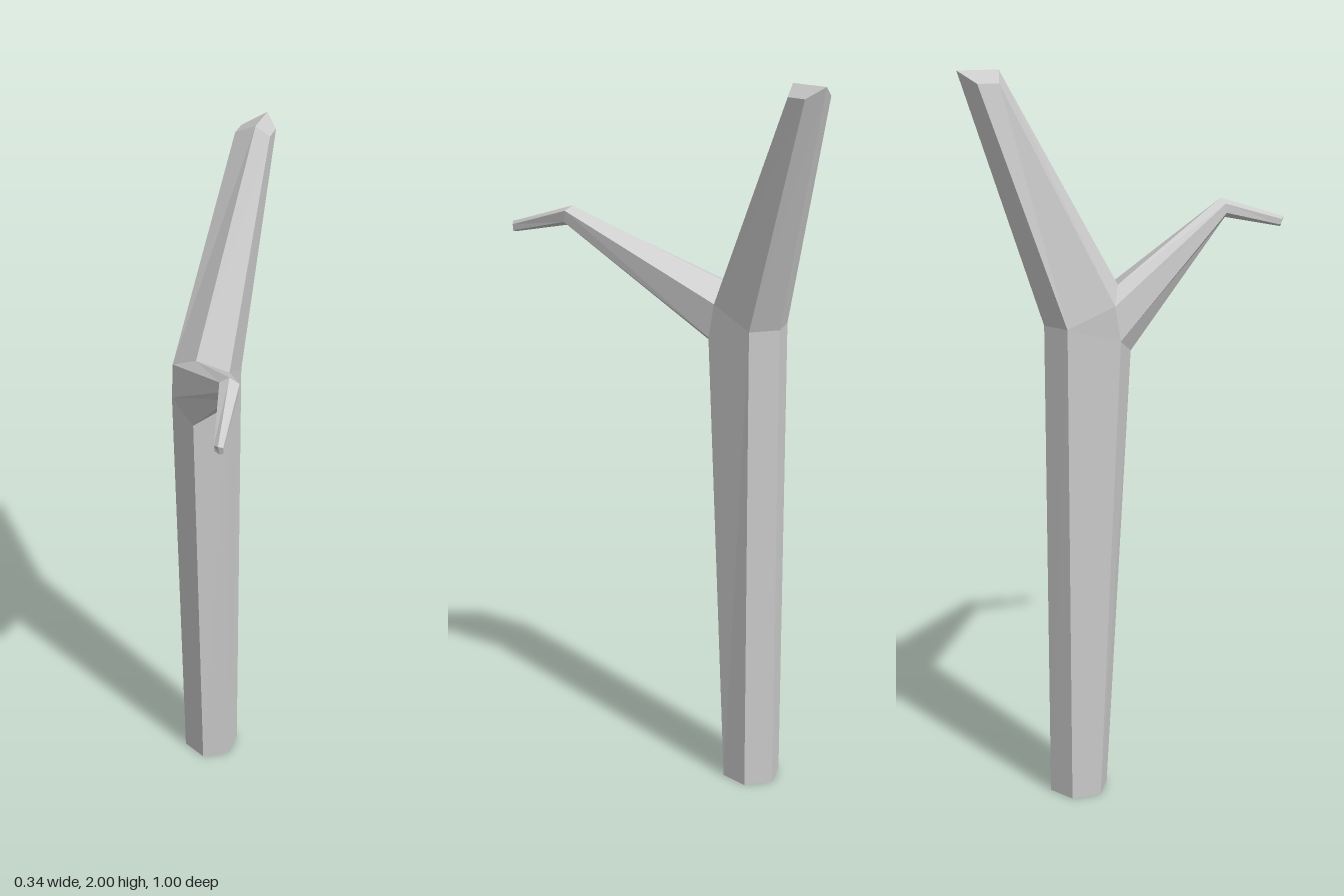
import * as THREE from 'three';

const material = new THREE.MeshStandardMaterial({ color: 0xcccccc, flatShading: true });

// Flat-shaded mesh from a list of triangles (each an array of three points)
function facetMesh(name, triangles) {
  const geometry = new THREE.BufferGeometry();
  geometry.setAttribute('position', new THREE.Float32BufferAttribute(triangles.flat(2), 3));
  geometry.computeVertexNormals();
  const mesh = new THREE.Mesh(geometry, material);
  mesh.name = name;
  return mesh;
}

// Closed end, fanned from the first point of a ring
function cap(ring) {
  return ring.slice(2).map((p, i) => [ring[0], ring[i + 1], p]);
}

// Walls joining consecutive rings
function loft(rings) {
  const triangles = [];
  for (let r = 0; r + 1 < rings.length; r++) {
    const a = rings[r], b = rings[r + 1];
    a.forEach((p, i) => {
      const j = (i + 1) % a.length;
      triangles.push([p, a[j], b[j]], [p, b[j], b[i]]);
    });
  }
  return triangles;
}

export function createModel() {
  const group = new THREE.Group();
  group.name = 'bareTree';

  // Corners shared where the trunk forks
  const frontLow = [-0.09, 1.255, -0.055];
  const rightLow = [-0.01, 1.3, -0.11], leftLow = [-0.17, 1.3, -0.11];
  const rightHigh = [-0.01, 1.395, -0.13], leftHigh = [-0.172, 1.395, -0.126];
  const crotch = [-0.093, 1.437, -0.092];
  const backRight = [-0.015, 1.34, -0.255], back = [-0.09, 1.34, -0.296], backLeft = [-0.165, 1.34, -0.255];

  // Trunk: hexagonal, from the ground to the fork
  const base = [
    [-0.092, 0, -0.13], [-0.02, 0, -0.172], [-0.02, 0, -0.255],
    [-0.092, 0, -0.296], [-0.164, 0, -0.255], [-0.164, 0, -0.172],
  ];
  const trunkTop = [frontLow, rightLow, backRight, back, backLeft, leftLow];
  group.add(facetMesh('trunk', [
    ...loft([base, trunkTop]),
    ...cap([...base].reverse()),
    [rightLow, backRight, rightHigh], // fork gussets
    [backLeft, leftLow, leftHigh],
  ]));

  // Main branch: leans back, with a ridged end
  const mainStart = [crotch, rightHigh, backRight, back, backLeft, leftHigh];
  const mainEnd = [
    [-0.022, 2, -0.387], [0.014, 1.97, -0.403], [0.014, 1.97, -0.46],
    [-0.022, 2, -0.498], [-0.083, 1.97, -0.46], [-0.083, 1.97, -0.403],
  ];
  group.add(facetMesh('mainBranch', [...loft([mainStart, mainEnd]), ...cap(mainEnd)]));

  // Side branch: reaches forward, then bends down to a thin tip
  const sideStart = [frontLow, rightLow, rightHigh, crotch, leftHigh, leftLow];
  const knee = [
    [0.122, 1.567, 0.3], [0.146, 1.578, 0.296], [0.148, 1.61, 0.288],
    [0.121, 1.622, 0.286], [0.097, 1.608, 0.292], [0.098, 1.582, 0.296],
  ];
  const tip = [
    [0.16, 1.526, 0.486], [0.17, 1.53, 0.486], [0.17, 1.547, 0.488],
    [0.16, 1.554, 0.498], [0.146, 1.548, 0.486], [0.147, 1.532, 0.484],
  ];
  group.add(facetMesh('sideBranch', [...loft([sideStart, knee, tip]), ...cap(tip)]));

  return group;
}
